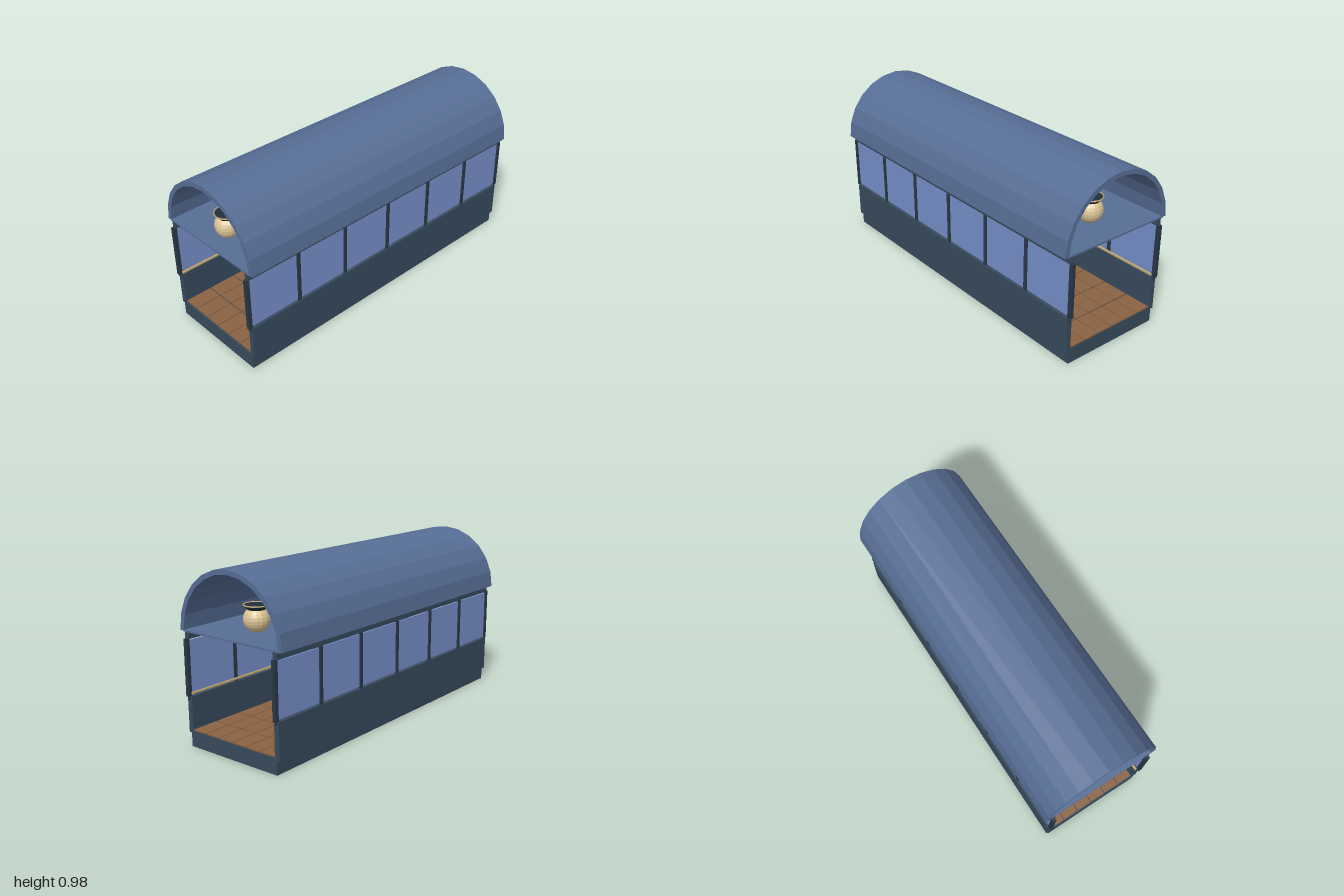
import * as THREE from 'three';
import { mergeGeometries } from 'three/addons/utils/BufferGeometryUtils.js';

const mat = (name, color, side = THREE.FrontSide) => {
  const m = new THREE.MeshStandardMaterial({ color, flatShading: true, side });
  m.name = name;
  return m;
};

export function createModel() {
  const model = new THREE.Group();
  model.name = 'coveredWalkway';

  const roofBlue = mat('roofBlue', 0x586e96);
  const wallSlate = mat('wallSlate', 0x374b5d);
  const postDark = mat('postDark', 0x2a3846);
  const glassBlue = mat('glassBlue', 0x7890cc);
  const tileBrown = mat('tileBrown', 0x8a6242);
  const lampCream = mat('lampCream', 0xdcc597);
  const railGold = mat('railGold', 0xb8a070);
  const capDark = mat('capDark', 0x20303e);

  const HALF = 0.985, LENGTH = HALF * 2, BAYS = 6, BAY = LENGTH / BAYS;

  const add = (name, geo, material, x = 0, y = 0, z = 0, parent = model) => {
    const m = new THREE.Mesh(geo, material);
    m.name = name;
    m.position.set(x, y, z);
    parent.add(m);
    return m;
  };
  const box = (w, h, d) => new THREE.BoxGeometry(w, h, d);
  const rod = (r, len) => new THREE.CylinderGeometry(r, r, len, 6).rotateX(Math.PI / 2);

  // Base slab
  add('base', box(0.61, 0.09, LENGTH), wallSlate, 0, 0.045, 0);

  // Floor tiles with narrow gaps
  const tiles = [];
  const COLS = 6, ROWS = 12, tileW = 0.58 / COLS, tileL = 1.97 / ROWS;
  for (let i = 0; i < COLS; i++) {
    for (let j = 0; j < ROWS; j++) {
      tiles.push(box(tileW - 0.005, 0.008, tileL - 0.008)
        .translate((i - (COLS - 1) / 2) * tileW, 0.093, (j - (ROWS - 1) / 2) * tileL - 0.003));
    }
  }
  add('floorTiles', mergeGeometries(tiles), tileBrown);

  // Both long sides: wall, beam, sill rod, posts, windows, handrail
  for (const s of [1, -1]) {
    const side = new THREE.Group();
    side.name = s > 0 ? 'leftSide' : 'rightSide';
    model.add(side);
    add('lowerWall', box(0.03, 0.203, LENGTH), wallSlate, s * 0.307, 0.1775, 0, side);
    add('topBeam', box(0.026, 0.037, LENGTH), wallSlate, s * 0.307, 0.605, 0, side);
    add('sillRod', rod(0.008, 1.984), postDark, s * 0.307, 0.267, 0, side);
    add('handrail', rod(0.008, LENGTH), railGold, s * 0.286, 0.298, 0, side);
    for (let i = 0; i <= BAYS; i++) {
      const z = -HALF + i * BAY;
      add('post', box(0.021, 0.31, 0.022), postDark, s * 0.307, 0.434, z * 0.989 / HALF, side);
      if (i < BAYS) {
        add('window', box(0.008, 0.292, BAY - 0.018), glassBlue, s * 0.307, 0.432, z + BAY / 2, side);
      }
    }
  }

  // Ceiling plate
  add('ceiling', box(0.665, 0.01, LENGTH), roofBlue, 0, 0.627, 0);

  // Barrel roof, twelve flat facets
  const arch = new THREE.Shape();
  const SEG = 12, R = 0.354, r = 0.328;
  for (let i = 0; i <= SEG; i++) {
    const a = Math.PI * i / SEG;
    arch[i ? 'lineTo' : 'moveTo'](R * Math.cos(a), R * Math.sin(a));
  }
  for (let i = SEG; i >= 0; i--) {
    const a = Math.PI * i / SEG;
    arch.lineTo(r * Math.cos(a), r * Math.sin(a));
  }
  arch.closePath();
  add('roof', new THREE.ExtrudeGeometry(arch, { depth: LENGTH, bevelEnabled: false }),
    roofBlue, 0, 0.627, -HALF);

  // Row of lanterns under the arch
  for (let i = 0; i < BAYS; i++) {
    const lamp = new THREE.Group();
    lamp.name = 'lantern';
    lamp.position.set(0, 0.7, 0.855 - i * BAY);
    model.add(lamp);
    add('lampGlobe', new THREE.SphereGeometry(0.07, 16, 12), lampCream, 0, 0, 0, lamp);
    add('lampCap', new THREE.CylinderGeometry(0.068, 0.046, 0.024, 16), capDark, 0, 0.062, 0, lamp);
    add('lampRim', new THREE.TorusGeometry(0.066, 0.004, 6, 16).rotateX(Math.PI / 2),
      railGold, 0, 0.075, 0, lamp);
    add('lampTip', new THREE.SphereGeometry(0.005, 6, 4), capDark, 0, 0.077, 0, lamp);
  }

  return model;
}
